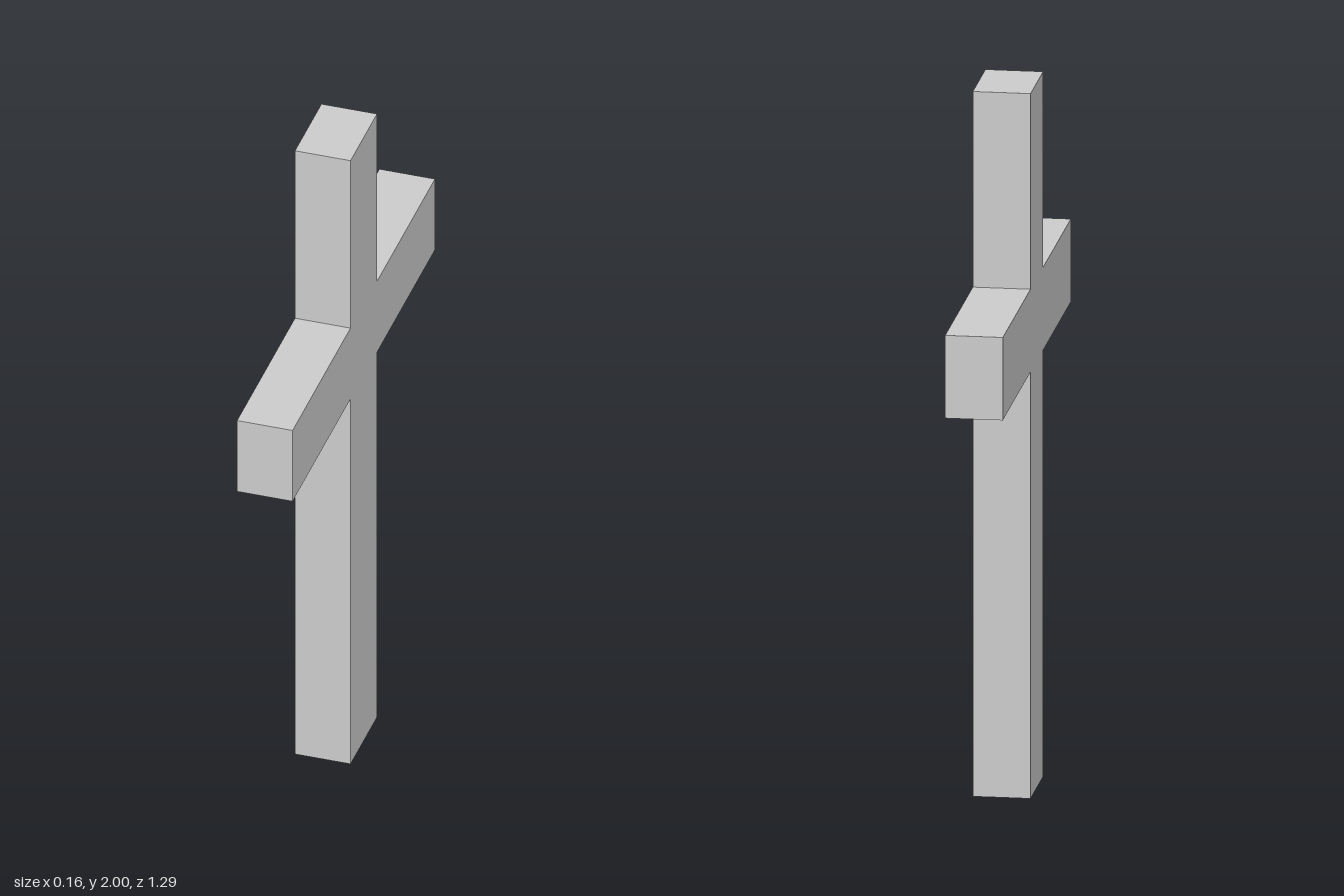
import * as THREE from 'three';

export function createModel() {
  const group = new THREE.Group();
  group.name = 'cross';

  const postHalf = 0.12, armHalf = 0.645, thickness = 0.16;
  const armBottom = 1.21, armTop = 1.445, height = 2;

  // Right half of the outline, bottom to top, mirrored for the left half
  const half = [
    [postHalf, 0], [postHalf, armBottom], [armHalf, armBottom],
    [armHalf, armTop], [postHalf, armTop], [postHalf, height],
  ];
  const mirrored = half.map(([x, y]) => [-x, y]).reverse();
  const outline = new THREE.Shape([...half, ...mirrored].map(([x, y]) => new THREE.Vector2(x, y)));

  // Post and crossbar as one solid, arms running along z
  const geometry = new THREE.ExtrudeGeometry(outline, { depth: thickness, bevelEnabled: false });
  geometry.translate(0, 0, -thickness / 2);
  geometry.rotateY(Math.PI / 2);

  const body = new THREE.Mesh(geometry, new THREE.MeshStandardMaterial({ color: 0xcccccc, flatShading: true }));
  body.name = 'postAndCrossbar';
  group.add(body);
  return group;
}
